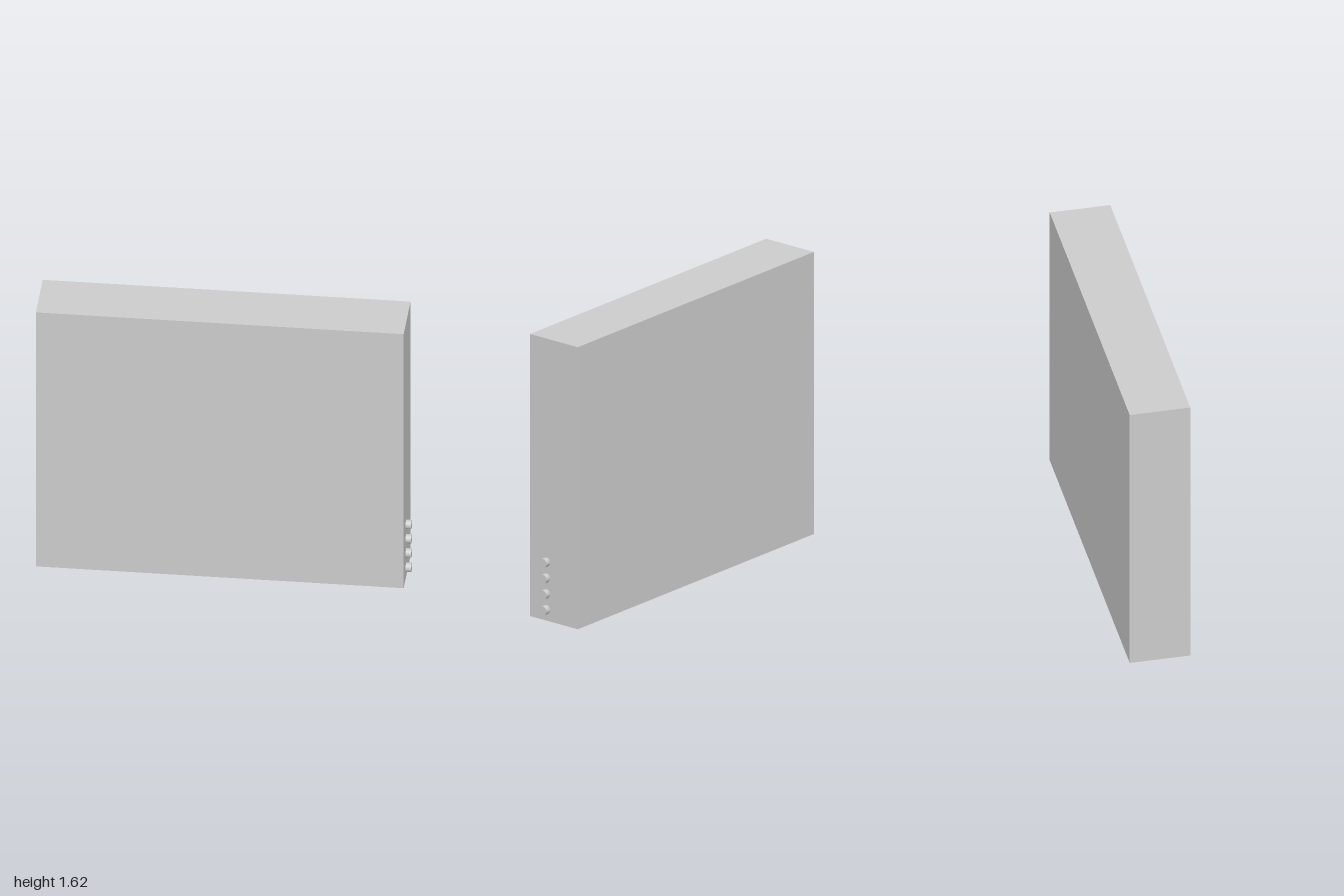
import * as THREE from 'three';

const grey = new THREE.MeshStandardMaterial({ color: 0xcccccc });
const X0 = -1, X1 = 0.97, ZH = 0.165, BOTTOM = 0.022, TOP = 1.615;
const PANEL = 0.036, FLOOR = 0.06, INSET = 0.022;

function rect(Kind, x0, x1, z0, z1) {
  const p = new Kind();
  p.moveTo(x0, z0);
  p.lineTo(x1, z0);
  p.lineTo(x1, z1);
  p.lineTo(x0, z1);
  p.closePath();
  return p;
}

// Horizontal plate reaching from yTop down to yBottom, outline given in x and z
function plate(shape, yBottom, yTop) {
  const g = new THREE.ExtrudeGeometry(shape, { depth: yTop - yBottom, bevelEnabled: false, curveSegments: 10 });
  return g.rotateX(Math.PI / 2).translate(0, yTop, 0);
}

// Closed housing with a raised rim underneath, lofted through rectangular loops
function housingGeometry() {
  const loops = [[INSET, FLOOR], [INSET, BOTTOM], [0, BOTTOM], [0, TOP]].map(([d, y]) => [
    [X0 + d, y, ZH - d], [X1 - d, y, ZH - d], [X1 - d, y, -ZH + d], [X0 + d, y, -ZH + d],
  ]);
  const pos = [];
  const quad = (a, b, c, d) => pos.push(...a, ...b, ...c, ...a, ...c, ...d);
  for (let i = 0; i < loops.length - 1; i++) {
    for (let k = 0; k < 4; k++) {
      const n = (k + 1) % 4;
      quad(loops[i][k], loops[i][n], loops[i + 1][n], loops[i + 1][k]);
    }
  }
  quad(...loops[3]);
  quad(...[...loops[0]].reverse());
  const g = new THREE.BufferGeometry();
  g.setAttribute('position', new THREE.Float32BufferAttribute(pos, 3));
  g.computeVertexNormals();
  return g;
}

export function createModel() {
  const model = new THREE.Group();
  const add = (name, geometry, x = 0, y = 0, z = 0) => {
    const m = new THREE.Mesh(geometry, grey);
    m.name = name;
    m.position.set(x, y, z);
    model.add(m);
    return m;
  };

  add('housing', housingGeometry());

  // Sunken underside panel, pierced for the slots and the terminal bay
  const slots = [0.745, 0.615, 0.485];
  const slotZ = 0.022;
  const bay = { x0: -0.885, x1: -0.505, z0: -0.075, z1: 0.08 };
  const panel = rect(THREE.Shape, X0 + INSET, X1 - INSET, -ZH + INSET, ZH - INSET);
  for (const x of slots) panel.holes.push(rect(THREE.Path, x - 0.058, x + 0.058, slotZ - 0.02, slotZ + 0.02));
  panel.holes.push(rect(THREE.Path, bay.x0, bay.x1, bay.z0, bay.z1));
  add('connectorPanel', plate(panel, PANEL, FLOOR));

  // Connector slots: a thin collar and an inner tongue
  for (const x of slots) {
    const collar = rect(THREE.Shape, -0.058, 0.058, -0.02, 0.02);
    collar.holes.push(rect(THREE.Path, -0.05, 0.05, -0.013, 0.013));
    add('slotCollar', plate(collar, 0.031, FLOOR), x, 0, slotZ);
    add('slotTongue', new THREE.BoxGeometry(0.085, 0.016, 0.008), x, FLOOR - 0.008, slotZ);
  }

  // Terminal bay: two rows of five sockets
  const block = rect(THREE.Shape, bay.x0 + 0.025, bay.x1 - 0.025, bay.z0 + 0.02, bay.z1 - 0.02);
  for (let i = 0; i < 5; i++) {
    for (const z of [-0.026, 0.031]) {
      const x = -0.695 + (i - 2) * 0.064;
      block.holes.push(rect(THREE.Path, x - 0.021, x + 0.021, z - 0.019, z + 0.019));
      add('terminalPin', new THREE.CylinderGeometry(0.009, 0.009, 0.02, 10), x, FLOOR - 0.01, z);
    }
  }
  add('terminalBlock', plate(block, 0.04, FLOOR));

  // Round knobs underneath
  for (const x of [0.195, 0.31]) {
    add('bottomKnob', new THREE.CylinderGeometry(0.026, 0.026, 0.05, 24), x, 0.025, 0.026);
  }

  // Column of round buttons on the side
  for (let i = 0; i < 4; i++) {
    const button = add('sideButton', new THREE.CylinderGeometry(0.025, 0.025, 0.04, 24), 0.98, 0.085 + i * 0.0895, 0.052);
    button.rotation.z = -Math.PI / 2;
  }
  return model;
}
